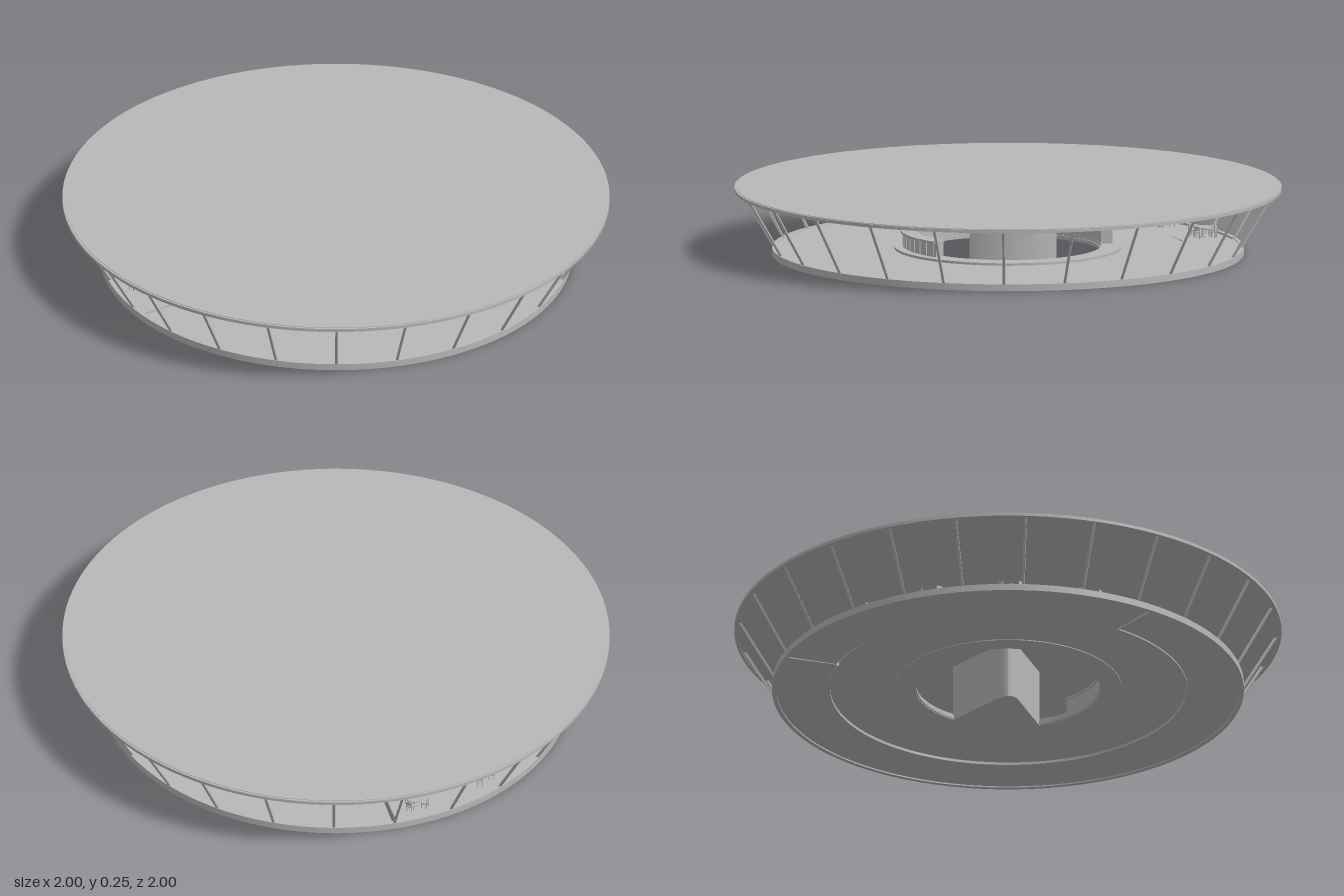
import * as THREE from 'three';
import { toCreasedNormals } from 'three/addons/utils/BufferGeometryUtils.js';

const grey = new THREE.MeshStandardMaterial({ color: 0xb8b8b8 });
grey.name = 'pale grey';
const RAD = Math.PI / 180;

function add(parent, name, geometry) {
  const mesh = new THREE.Mesh(geometry, grey);
  mesh.name = name;
  parent.add(mesh);
  return mesh;
}

// Stands a plan outline (x, z) up between two heights
function slab(shape, y0, y1) {
  const g = new THREE.ExtrudeGeometry(shape, { depth: y1 - y0, bevelEnabled: false, curveSegments: 64 });
  g.rotateX(Math.PI / 2);
  g.translate(0, y1, 0);
  return toCreasedNormals(g, 0.5);
}

// Full ring (or disc when inner is 0)
function ring(inner, outer, y0, y1) {
  const s = new THREE.Shape().absarc(0, 0, outer, 0, Math.PI * 2, false);
  if (inner) s.holes.push(new THREE.Path().absarc(0, 0, inner, 0, Math.PI * 2, true));
  return slab(s, y0, y1);
}

// Part of a ring; angles in degrees from +x towards +z
function arc(inner, outer, a0, a1, y0, y1) {
  const s = new THREE.Shape();
  s.absarc(0, 0, outer, a0 * RAD, a1 * RAD, false);
  s.absarc(0, 0, inner, a1 * RAD, a0 * RAD, true);
  s.closePath();
  return slab(s, y0, y1);
}

// Square bar between two points
function bar(a, b, width) {
  const d = new THREE.Vector3().subVectors(b, a);
  const g = new THREE.BoxGeometry(width, d.length(), width);
  g.applyQuaternion(new THREE.Quaternion().setFromUnitVectors(new THREE.Vector3(0, 1, 0), d.clone().normalize()));
  g.translate((a.x + b.x) / 2, (a.y + b.y) / 2, (a.z + b.z) / 2);
  return g;
}

function box(w, h, d, x, y, z) {
  return new THREE.BoxGeometry(w, h, d).translate(x, y, z);
}

function createChair() {
  const chair = new THREE.Group();
  chair.name = 'chair';
  add(chair, 'chairSeat', box(0.022, 0.003, 0.022, 0, 0.022, 0));
  add(chair, 'chairBack', box(0.022, 0.016, 0.003, 0, 0.037, 0.0105));
  for (const x of [-1, 1]) for (const z of [-1, 1]) {
    add(chair, 'chairLeg', box(0.003, 0.022, 0.003, x * 0.009, 0.011, z * 0.009));
  }
  for (const x of [-1, 1]) add(chair, 'chairBackPost', box(0.003, 0.018, 0.003, x * 0.009, 0.03, 0.0105));
  return chair;
}

function createTableSet() {
  const set = new THREE.Group();
  set.name = 'tableSet';
  add(set, 'tableTop', new THREE.CylinderGeometry(0.036, 0.036, 0.004, 24).translate(0, 0.036, 0));
  add(set, 'tablePedestal', new THREE.CylinderGeometry(0.004, 0.004, 0.034, 10).translate(0, 0.017, 0));
  add(set, 'tableFoot', new THREE.CylinderGeometry(0.016, 0.016, 0.003, 16).translate(0, 0.0015, 0));
  for (let i = 0; i < 4; i++) {
    const pivot = new THREE.Group();
    pivot.name = 'chairPlace';
    pivot.rotation.y = (i * 90 + 45) * RAD;
    const chair = createChair();
    chair.position.z = 0.041;
    pivot.add(chair);
    set.add(pivot);
  }
  return set;
}

export function createModel() {
  const model = new THREE.Group();
  model.name = 'roundPavilion';

  // Roof and the lowered ceiling around the core
  add(model, 'roof', ring(0, 0.992, 0.238, 0.25));
  add(model, 'roofEdge', ring(0.988, 1, 0.236, 0.248));
  add(model, 'ceilingDisc', ring(0, 0.36, 0.22, 0.238));

  // Floor: inner ring, outer ring and a sunken dining sector
  const from = 133, to = 243;
  add(model, 'innerFloor', ring(0.335, 0.65, 0.01, 0.022));
  add(model, 'outerFloor', arc(0.65, 0.848, to, from + 360, 0.005, 0.022));
  add(model, 'floorRim', arc(0.846, 0.862, to, from + 360, 0, 0.025));
  add(model, 'floorSeam', arc(0.65, 0.657, to, from + 360, 0, 0.022));
  add(model, 'diningFloor', arc(0.665, 0.846, from + 1.2, to - 1.2, 0, 0.017));
  add(model, 'diningRim', arc(0.846, 0.862, from, to, 0, 0.025));
  add(model, 'coreStep', ring(0.34, 0.415, 0.007, 0.031));

  // Leaning window posts
  for (let i = 0; i < 24; i++) {
    const a = (2.5 + i * 15) * RAD, c = Math.cos(a), s = Math.sin(a);
    add(model, 'windowPost', bar(
      new THREE.Vector3(c * 0.852, 0.02, s * 0.852),
      new THREE.Vector3(c * 0.982, 0.242, s * 0.982), 0.009));
  }

  // Wedge-shaped service core with a rounded tip
  const core = new THREE.Shape();
  core.absarc(0, 0, 0.34, -45 * RAD, 11 * RAD, false);
  core.lineTo(0.09, 0.02);
  core.quadraticCurveTo(0.04, 0, 0.08, -0.05);
  core.closePath();
  add(model, 'serviceCore', slab(core, 0.005, 0.238));

  // Curved counter with slats and a top
  const c0 = 30, c1 = 250;
  add(model, 'counterBody', arc(0.342, 0.382, c0, c1, 0.03, 0.082));
  add(model, 'counterTop', arc(0.337, 0.392, c0, c1, 0.082, 0.09));
  for (let a = c0 + 2; a < c1; a += 6) {
    const slat = add(model, 'counterSlat', box(0.005, 0.052, 0.006, 0.383, 0.056, 0));
    slat.rotation.y = -a * RAD;
  }

  // Tables along the dining sector
  for (let i = 0; i < 5; i++) {
    const a = (235 - i * 21.5) * RAD;
    const set = createTableSet();
    set.position.set(Math.cos(a) * 0.765, 0.017, Math.sin(a) * 0.765);
    set.rotation.y = -a;
    model.add(set);
  }
  return model;
}
